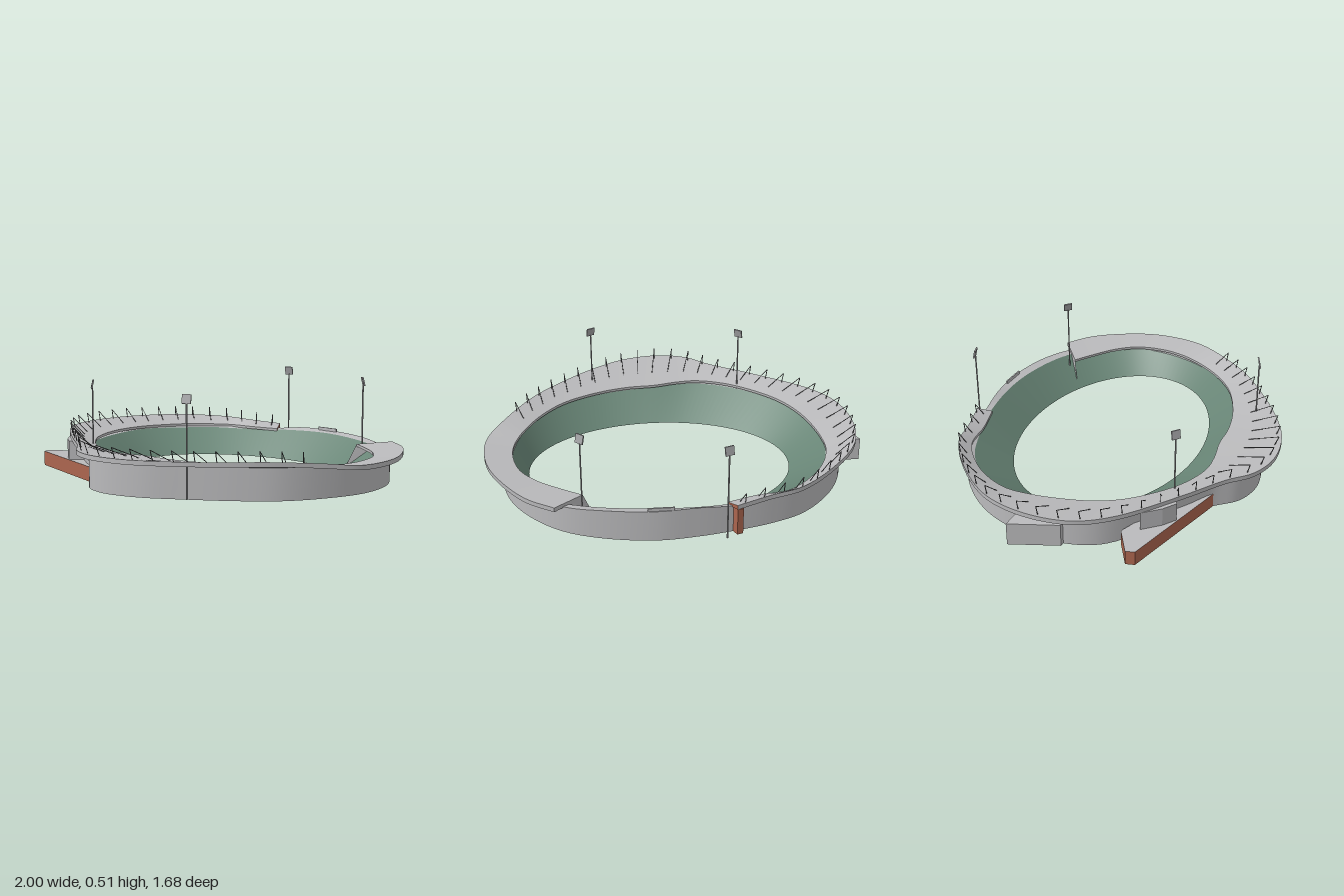
import * as THREE from 'three';

const paint = (name, color) => {
  const m = new THREE.MeshStandardMaterial({ color, side: THREE.DoubleSide });
  m.name = name;
  return m;
};
const V = (x, y, z) => new THREE.Vector3(x, y, z);

// Roof cross-sections: outer x, z, y and inner x, z, y, from the back left round the front to the back right
const ROOF = [
  [-0.24, -0.81, 0.17, -0.2, -0.74, 0.148], [-0.41, -0.75, 0.18, -0.36, -0.69, 0.15],
  [-0.58, -0.7, 0.19, -0.52, -0.66, 0.15], [-0.78, -0.53, 0.2, -0.7, -0.49, 0.153],
  [-0.92, -0.33, 0.2, -0.78, -0.3, 0.155], [-0.965, -0.16, 0.2, -0.78, -0.16, 0.16],
  [-0.96, 0.03, 0.2, -0.74, 0.03, 0.165], [-0.91, 0.19, 0.2, -0.68, 0.18, 0.165],
  [-0.79, 0.34, 0.2, -0.59, 0.31, 0.165], [-0.5, 0.55, 0.2, -0.38, 0.48, 0.165],
  [-0.28, 0.69, 0.2, -0.2, 0.545, 0.165], [-0.16, 0.79, 0.2, -0.08, 0.54, 0.165],
  [0, 0.835, 0.2, 0.06, 0.51, 0.165], [0.21, 0.8, 0.2, 0.2, 0.5, 0.165],
  [0.4, 0.69, 0.2, 0.37, 0.455, 0.165], [0.6, 0.52, 0.2, 0.57, 0.35, 0.165],
  [0.75, 0.36, 0.2, 0.7, 0.22, 0.16], [0.9, 0.14, 0.185, 0.8, 0.05, 0.155],
  [0.985, -0.02, 0.168, 0.845, -0.08, 0.15], [1, -0.16, 0.165, 0.85, -0.2, 0.15],
  [0.97, -0.33, 0.165, 0.81, -0.35, 0.15], [0.88, -0.51, 0.165, 0.72, -0.46, 0.15],
  [0.77, -0.65, 0.165, 0.61, -0.54, 0.15], [0.64, -0.74, 0.165, 0.5, -0.61, 0.15],
];

// Outer wall plan: x, z, top height
const WALL = [
  [-0.88, -0.1, 0.17], [-0.865, 0.1, 0.17], [-0.79, 0.26, 0.17], [-0.6, 0.41, 0.17], [-0.4, 0.54, 0.17],
  [-0.27, 0.61, 0.17], [-0.15, 0.72, 0.175], [0, 0.755, 0.175], [0.2, 0.7, 0.175], [0.4, 0.57, 0.17],
  [0.6, 0.42, 0.165], [0.75, 0.27, 0.165], [0.85, 0.08, 0.15], [0.908, -0.15, 0.138], [0.87, -0.38, 0.138],
  [0.76, -0.56, 0.138], [0.6, -0.7, 0.145], [0.4, -0.78, 0.16], [0.15, -0.82, 0.165], [-0.05, -0.805, 0.165],
  [-0.22, -0.775, 0.148], [-0.42, -0.725, 0.148], [-0.6, -0.645, 0.155], [-0.77, -0.47, 0.16], [-0.86, -0.28, 0.165],
];

// Top edge of the seating bowl: x, z, height
const BOWL = [
  [-0.79, -0.22, 0.14], [-0.75, 0.04, 0.14], [-0.62, 0.3, 0.14], [-0.4, 0.48, 0.14], [-0.18, 0.56, 0.14],
  [0.07, 0.535, 0.14], [0.38, 0.47, 0.14], [0.62, 0.33, 0.14], [0.79, 0.1, 0.13], [0.855, -0.16, 0.125],
  [0.82, -0.4, 0.125], [0.68, -0.6, 0.13], [0.48, -0.71, 0.145], [0.15, -0.775, 0.155], [-0.15, -0.76, 0.145],
  [-0.4, -0.69, 0.132], [-0.6, -0.59, 0.132], [-0.73, -0.43, 0.132],
];

const curve = (pts, closed) => new THREE.CatmullRomCurve3(pts, closed);

// Strip of quads between two rows of points
function strip(a, b) {
  const g = new THREE.BufferGeometry();
  g.setFromPoints([...a, ...b]);
  const n = a.length, idx = [];
  for (let i = 0; i < n - 1; i++) idx.push(i, i + 1, n + i, i + 1, n + i + 1, n + i);
  g.setIndex(idx);
  g.computeVertexNormals();
  return g;
}

export function createModel() {
  const grey = paint('concrete grey', 0xbababc);
  const green = paint('seat green', 0x688576);
  const brick = paint('brick red', 0xab654e);
  const dark = paint('dark steel', 0x6a6a6c);
  const steel = paint('light steel', 0xa4a4a6);

  const model = new THREE.Group();
  const add = (name, geo, mat, parent = model) => {
    const m = new THREE.Mesh(geo, mat);
    m.name = name;
    parent.add(m);
    return m;
  };
  const group = (name) => {
    const g = new THREE.Group();
    g.name = name;
    model.add(g);
    return g;
  };
  const bar = (name, a, b, r, mat, parent) => {
    const m = add(name, new THREE.CylinderGeometry(r, r, a.distanceTo(b), 6), mat, parent);
    m.position.copy(a).lerp(b, 0.5);
    m.quaternion.setFromUnitVectors(V(0, 1, 0), b.clone().sub(a).normalize());
  };
  // Upright prism over a plan outline of [x, z] corners
  const prism = (name, plan, y0, y1, top, sides) => {
    const shape = new THREE.Shape(plan.map(([x, z]) => new THREE.Vector2(x, -z)));
    const g = new THREE.ExtrudeGeometry(shape, { depth: y1 - y0, bevelEnabled: false });
    g.rotateX(-Math.PI / 2).translate(0, y0, 0);
    return add(name, g, [top, sides]);
  };

  // Seating bowl, from the pitch ellipse up to its top edge
  const bowlTop = curve(BOWL.map(([x, z, y]) => V(x, y, z)), true).getPoints(144);
  const pitchEdge = bowlTop.map((p) => {
    const a = Math.atan2((p.z + 0.13) / 0.64, (p.x - 0.06) / 0.83);
    return V(0.08 + 0.695 * Math.cos(a), 0, -0.13 + 0.49 * Math.sin(a));
  });
  add('seatingBowl', strip(pitchEdge, bowlTop), green);

  // Outer wall and the walkway joining it to the bowl
  const wallTop = curve(WALL.map(([x, z, y]) => V(x, y, z)), true).getPoints(150);
  add('outerWall', strip(wallTop, wallTop.map((p) => V(p.x, 0, p.z))), grey);
  const rimInner = wallTop.map((p) => {
    let best = bowlTop[0];
    for (const q of bowlTop) if (q.distanceToSquared(p) < best.distanceToSquared(p)) best = q;
    return best.clone();
  });
  add('walkway', strip(wallTop, rimInner), grey);

  // Sweeping roof with a fascia all round
  const outer = curve(ROOF.map((r) => V(r[0], r[2], r[1])), false);
  const inner = curve(ROOF.map((r) => V(r[3], r[5], r[4])), false);
  const o = outer.getPoints(138), i = inner.getPoints(138);
  const lower = (row, d) => row.map((p) => V(p.x, p.y - d, p.z));
  const oLow = lower(o, 0.024), iLow = lower(i, 0.014);
  const roof = group('roof');
  add('roofTop', strip(o, i), grey, roof);
  add('roofUnderside', strip(iLow, oLow), grey, roof);
  add('outerFascia', strip(oLow, o), grey, roof);
  add('innerFascia', strip(i, iLow), grey, roof);
  for (const [k, mat] of [[0, brick], [o.length - 1, grey]]) {
    add('roofEnd', strip([o[k], i[k]], [oLow[k], iLow[k]]), mat, roof);
  }

  // Wedge wall closing the right end of the roof down to the seats
  add('roofEndWedge', strip([V(0.5, 0.15, -0.61), V(0.62, 0.16, -0.72)], [V(0.46, 0.035, -0.575), V(0.55, 0.1, -0.66)]), grey);

  // Triangular stays along the roof
  const stays = group('roofStays');
  const COUNT = 35;
  for (let k = 0; k < COUNT; k++) {
    const t = outer.getUtoTmapping(0.01 + (0.75 * k) / (COUNT - 1));
    const a = outer.getPoint(t), b = inner.getPoint(t);
    const foot = a.clone().lerp(b, 0.1), end = a.clone().lerp(b, 0.57);
    const tip = foot.clone().lerp(a, 0.6).add(V(0, 0.052, 0));
    bar('post', foot, tip, 0.0024, dark, stays);
    bar('stay', tip, end, 0.002, dark, stays);
  }

  // Floodlights facing the pitch
  for (const [x, z, base] of [[-0.42, 0.475, 0.1], [0.41, 0.575, 0], [0.505, -0.65, 0.08], [-0.19, -0.83, 0]]) {
    const light = group('floodlight');
    bar('mast', V(x, base, z), V(x, 0.47, z), 0.0042, steel, light);
    const head = add('lampPanel', new THREE.BoxGeometry(0.046, 0.046, 0.008), steel, light);
    head.position.set(x, 0.488, z);
    head.lookAt(0.05, 0.32, -0.13);
  }

  // Entrance ramp building with brick sides
  prism('entranceBuilding', [[-0.87, 0.43], [-0.855, 0.475], [-0.2, 0.633], [-0.16, 0.55], [-0.74, 0.34]], 0, 0.078, grey, brick);
  // Stair towers against the wall
  prism('stairTower', [[-0.69, 0.42], [-0.61, 0.5], [-0.54, 0.545], [-0.48, 0.49], [-0.6, 0.4]], 0.078, 0.178, grey, grey);
  prism('sideAnnex', [[-1, -0.15], [-0.89, 0.09], [-0.85, 0.09], [-0.86, -0.15]], 0, 0.125, grey, grey);

  // Brick pier under the back end of the roof
  prism('brickPier', [[-0.272, -0.797], [-0.242, -0.806], [-0.212, -0.748], [-0.242, -0.738]], 0, 0.143, brick, brick);

  // Low board on the back walkway
  const board = add('backBoard', new THREE.BoxGeometry(0.13, 0.024, 0.008), grey);
  board.position.set(0.13, 0.168, -0.81);

  return model;
}
